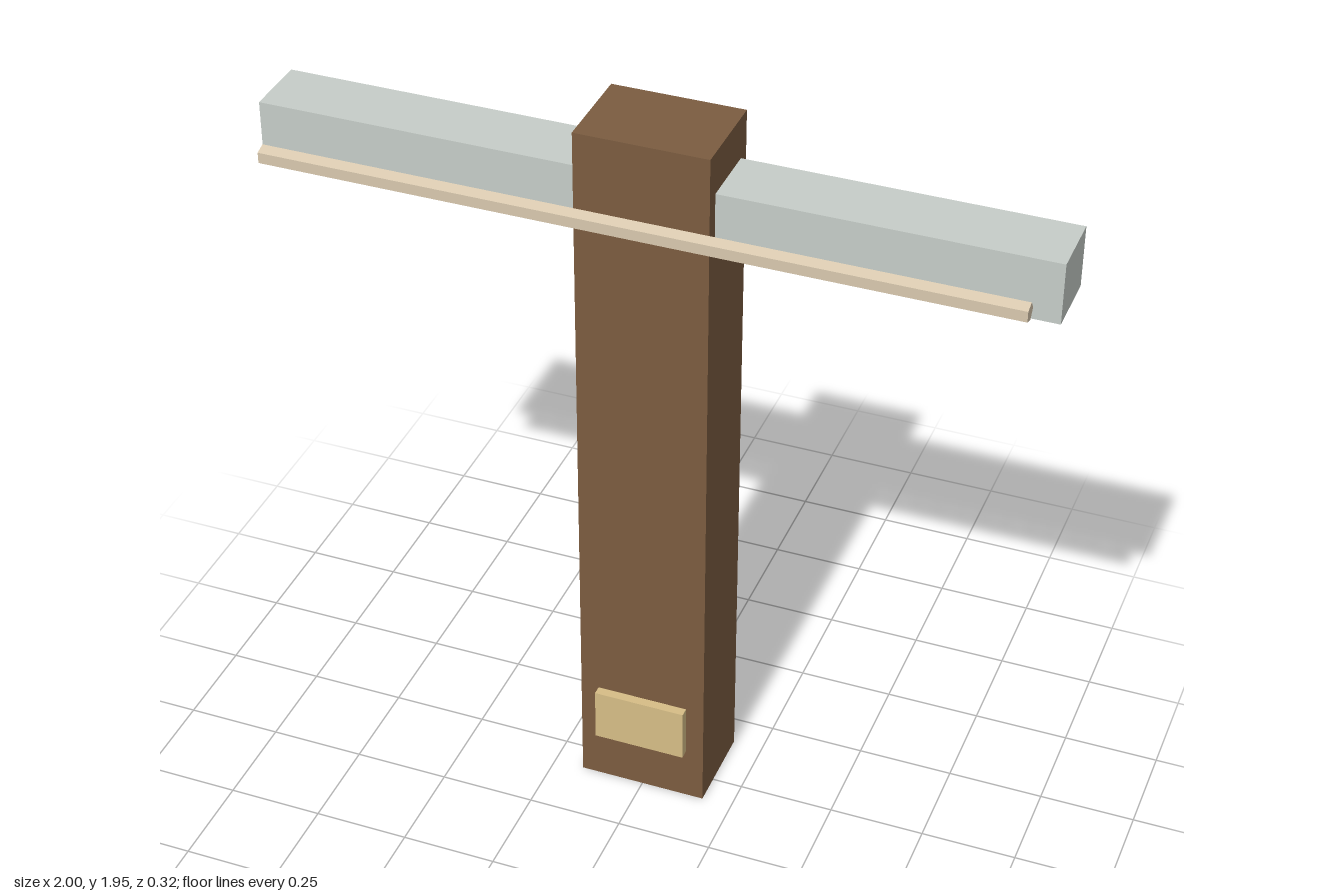
import * as THREE from 'three';

export function createModel() {
  const model = new THREE.Group();

  const add = (name, geometry, color, x, y, z) => {
    const material = new THREE.MeshStandardMaterial({ color, flatShading: true });
    const mesh = new THREE.Mesh(geometry, material);
    mesh.name = name;
    mesh.position.set(x, y, z);
    model.add(mesh);
    return mesh;
  };

  // Upright wooden post
  add('post', new THREE.BoxGeometry(0.34, 1.95, 0.244), 0x7b5c40, 0, 0.975, -0.041);

  // Horizontal beam passing through the post
  add('crossBeam', new THREE.BoxGeometry(2, 0.16, 0.172), 0xc6cdc8, 0, 1.76, -0.041);

  // Small plate fixed low on the front of the post
  add('plate', new THREE.BoxGeometry(0.244, 0.146, 0.03), 0xd6bd86, 0, 0.222, 0.091);

  // Five-sided rod in front of the beam, one edge pointing back
  const rod = new THREE.CylinderGeometry(0.024, 0.024, 1.9, 5, 1, false, Math.PI);
  rod.rotateZ(Math.PI / 2);
  add('rod', rod, 0xd8c8ae, 0, 1.76, 0.142);

  return model;
}
